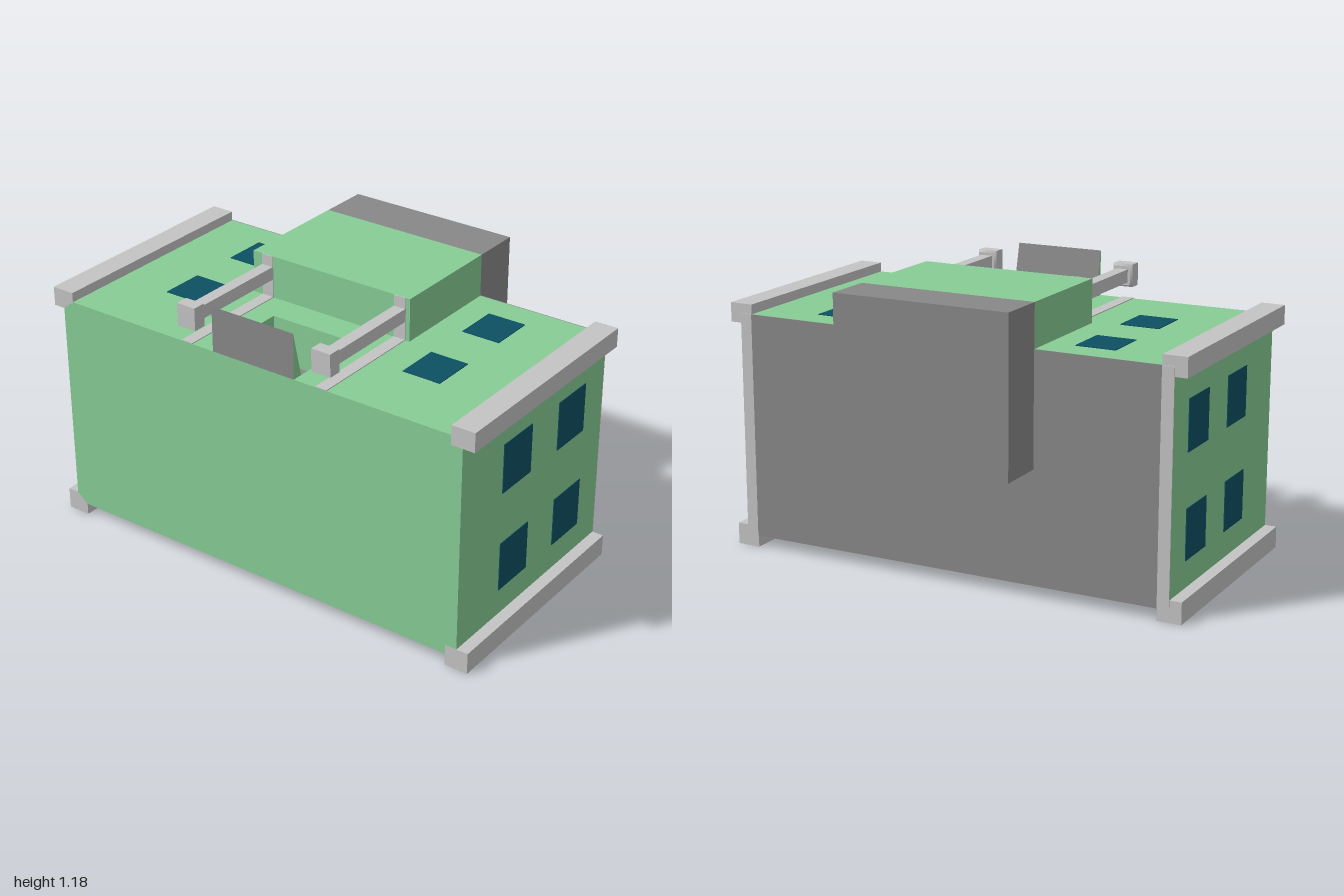
import * as THREE from 'three';

const mat = (name, color) => {
  const m = new THREE.MeshStandardMaterial({ color });
  m.name = name;
  return m;
};

export function createModel() {
  const green = mat('wallGreen', 0x87cc95);
  const light = mat('trimLightGrey', 0xc4c4c4);
  const grey = mat('roofGrey', 0x888888);
  const glass = mat('windowBlue', 0x0d5062);
  const root = new THREE.Group();
  root.name = 'house';
  const BACK = -0.4, FRONT = 0.605;

  const add = (name, geo, material) => {
    const mesh = new THREE.Mesh(geo, material);
    mesh.name = name;
    root.add(mesh);
    return mesh;
  };
  // Box given by its limits on each axis
  const box = (name, material, x0, x1, y0, y1, z0, z1) =>
    add(name, new THREE.BoxGeometry(x1 - x0, y1 - y0, z1 - z0)
      .translate((x0 + x1) / 2, (y0 + y1) / 2, (z0 + z1) / 2), material);
  const shape = pts => new THREE.Shape(pts.map(p => new THREE.Vector2(...p)));
  // Cross-section in x, y drawn out from z0 to z1
  const prism = (name, material, pts, z0, z1) =>
    add(name, new THREE.ExtrudeGeometry(shape(pts), { depth: z1 - z0, bevelEnabled: false })
      .translate(0, 0, z0), material);

  // Body in three slices, the middle one holding the entrance recess
  const RX0 = -0.18, RX1 = 0.205, RZ0 = 0.23, RZ1 = 0.56, FLOOR = 0.79;
  const bodyOutline = notch => [
    [-0.9, 0.05], [0.9, 0.05], [0.9, 0.09], [0.95, 0.09], [0.95, 0.95], [0.9, 0.95], [0.9, 0.99],
    ...(notch ? [[RX1, 0.99], [RX1, FLOOR], [RX0, FLOOR], [RX0, 0.99]] : []),
    [-0.9, 0.99], [-0.95, 0.95], [-0.95, 0.09],
  ];
  prism('bodyRear', green, bodyOutline(false), BACK, RZ0);
  prism('bodyMiddle', green, bodyOutline(true), RZ0, RZ1);
  prism('bodyFront', green, bodyOutline(false), RZ1, FRONT);
  box('recessFloor', grey, RX0, RX1, FLOOR, FLOOR + 0.005, RZ0, RZ1);
  box('recessEndWall', grey, RX0, RX1, FLOOR, 0.99, RZ1 - 0.004, RZ1);

  // Corner bars
  for (const [a, b] of [[0.95, 1.03], [0.09, 0]]) {
    const mid = a > b ? 0.05 : 0.99;
    box('cornerBar', light, 0.9, 1, Math.min(a, b), Math.max(a, b), BACK, FRONT);
    prism('cornerBar', light, [[-0.95, a], [-0.9, mid], [-0.9, b], [-1, b], [-1, a]], BACK, FRONT);
  }

  // Grey back panel with light edge strips
  box('backPanel', grey, -0.9, 0.9, 0.05, 0.99, BACK - 0.004, BACK);
  for (const s of [-1, 1])
    box('backEdgeStrip', light, s * 0.925 - 0.025, s * 0.925 + 0.025, 0.05, 0.99, BACK - 0.004, BACK);

  // Porch block and its grey roof block
  box('porch', green, -0.38, 0.375, 0.98, 1.17, BACK, 0.1);
  box('porchRoof', grey, -0.38, 0.375, 0.52, 1.17, -0.61, BACK);

  // Columns with bases, and flat pilasters behind them
  for (const x of [-0.308, 0.33]) {
    box('column', light, x - 0.026, x + 0.026, 1.07, 1.125, 0.1, 0.55);
    box('columnBase', light, x - 0.043, x + 0.043, 1.05, 1.145, 0.55, FRONT);
    const taper = new THREE.CylinderGeometry(0.043 * Math.SQRT2, 0.036 * Math.SQRT2, 0.01, 4, 1)
      .rotateY(Math.PI / 4).rotateX(Math.PI / 2).scale(1, 1.1, 1).translate(x, 1.0975, 0.545);
    add('columnBaseTaper', taper.toNonIndexed(), light);
    box('wallPilaster', light, x - 0.026, x + 0.026, 0.99, 0.994, 0.1, FRONT);
    box('porchPilaster', light, x - 0.026, x + 0.026, 0.99, 1.17, 0.1, 0.104);
  }

  // Doorstep wedge: green ends, grey faces
  const step = new THREE.ExtrudeGeometry(
    shape([[-FRONT, 0.99], [-RZ1, 0.99], [-FRONT, 1.18]]),
    { depth: RX1 - RX0, bevelEnabled: false }).rotateY(Math.PI / 2).translate(RX0, 0, 0);
  add('doorstep', step, [green, grey]);

  // Windows on the upper, lower and both side walls
  const T = 0.003;
  for (const [z0, z1] of [[-0.28, -0.09], [0.125, 0.315]])
    for (const s of [-1, 1]) {
      const x = s * 0.575;
      box('upperWindow', glass, x - 0.083, x + 0.083, 0.99, 0.99 + T, z0, z1);
      box('lowerWindow', glass, x - 0.083, x + 0.083, 0.05 - T, 0.05, z0, z1);
    }
  box('wideLowerWindow', glass, -0.32, 0.32, 0.05 - T, 0.05, -0.28, -0.09);
  for (const s of [-1, 1])
    for (const y of [0.305, 0.733])
      for (const z of [0.227, -0.162])
        box('sideWindow', glass, s * 0.95 - T, s * 0.95 + T, y - 0.104, y + 0.104, z - 0.098, z + 0.098);

  return root;
}
